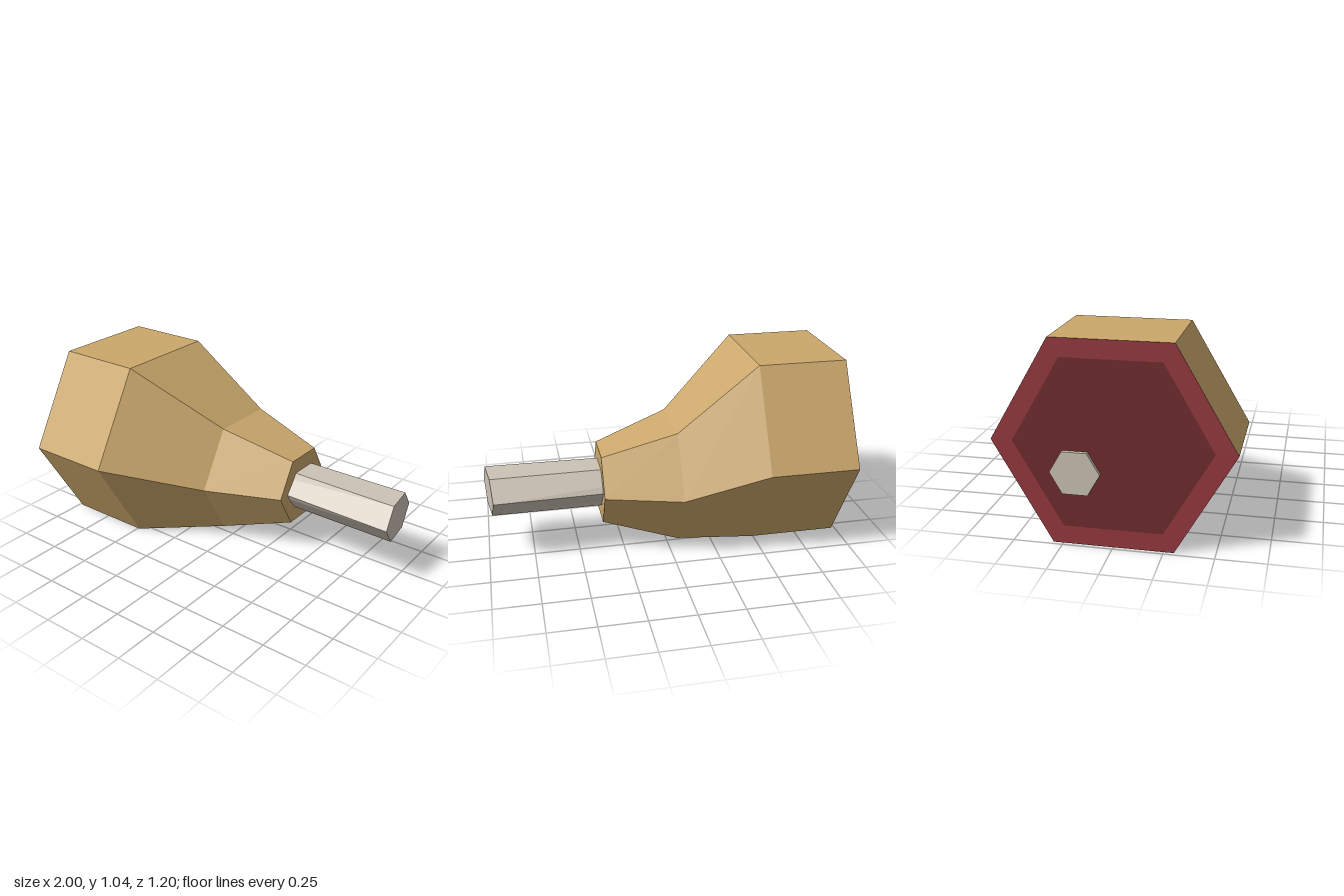
import * as THREE from 'three';

// Six-sided ring across the x axis; slant tilts it by moving x with z.
function ring(x, y, z, ry, rz, slant = 0) {
  return Array.from({ length: 6 }, (_, i) => {
    const a = (i * Math.PI) / 3;
    const pz = z + rz * Math.cos(a);
    const py = y + (ry * Math.sin(a)) / Math.sin(Math.PI / 3);
    return new THREE.Vector3(x + slant * pz, py, pz);
  });
}

// Skin neighbouring rings with flat quads and optionally close the ends.
function loft(rings, capStart, capEnd) {
  const tris = [];
  for (let r = 0; r < rings.length - 1; r++) {
    const a = rings[r], b = rings[r + 1];
    for (let i = 0; i < 6; i++) {
      const j = (i + 1) % 6;
      tris.push(a[i], b[i], b[j], a[i], b[j], a[j]);
    }
  }
  const first = rings[0], last = rings[rings.length - 1];
  for (let i = 1; i < 5; i++) {
    if (capStart) tris.push(first[0], first[i], first[i + 1]);
    if (capEnd) tris.push(last[0], last[i + 1], last[i]);
  }
  const geometry = new THREE.BufferGeometry().setFromPoints(tris);
  geometry.computeVertexNormals();
  return geometry;
}

export function createModel() {
  const group = new THREE.Group();
  const material = (name, color) => {
    const m = new THREE.MeshStandardMaterial({ color });
    m.name = name;
    return m;
  };
  const skin = material('roasted skin', 0xcba86c);
  const bone = material('bone', 0xccc3b5);
  const rind = material('red meat', 0x96393f);
  const meat = material('dark meat', 0x702c2e);

  const add = (name, geometry, mat) => {
    const mesh = new THREE.Mesh(geometry, mat);
    mesh.name = name;
    group.add(mesh);
  };

  // Tapering leg, open where the cut face sits
  const cut = ring(-0.98, 0.518, 0, 0.518, 0.6);
  add('leg', loft([
    cut,
    ring(-0.49, 0.518, 0, 0.518, 0.6),
    ring(-0.04, 0.375, -0.147, 0.319, 0.368),
    ring(0.37, 0.375, -0.175, 0.195, 0.225),
  ], false, true), skin);

  // Cut face: outer border and darker centre
  const inner = ring(-0.98, 0.518, 0, 0.425, 0.492);
  add('cutBorder', loft([inner, cut], false, false), rind);
  add('cutCentre', loft([inner], true, false), meat);

  // Bone through the leg, widening to a slanted tip
  add('bone', loft([
    ring(-1, 0.377, -0.18, 0.108, 0.125),
    ring(1, 0.377, -0.175, 0.108, 0.175, 0.125),
  ], true, true), bone);

  return group;
}
